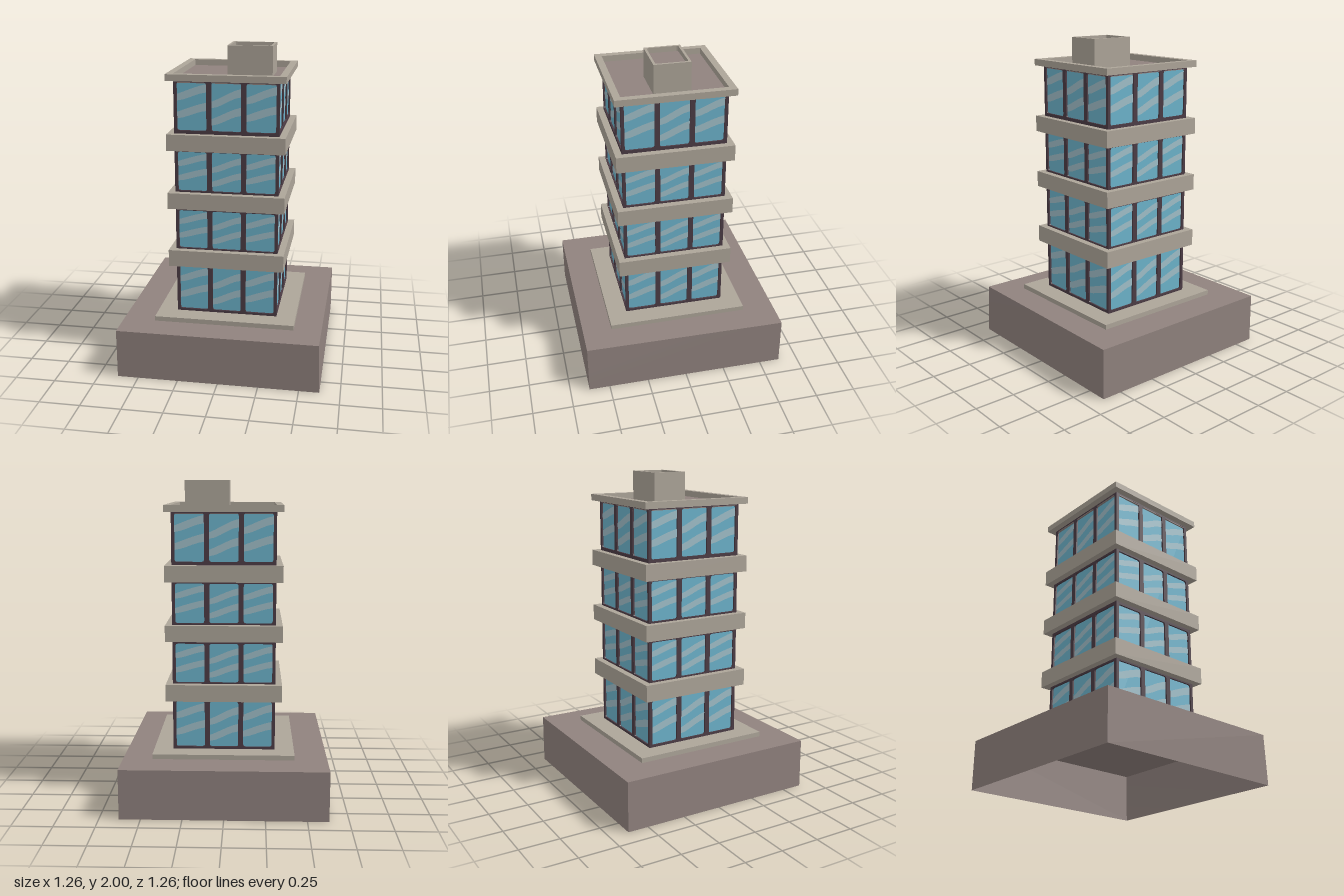
import * as THREE from 'three';

const mat = (name, color, side = THREE.FrontSide) => {
  const m = new THREE.MeshStandardMaterial({ color, side });
  m.name = name;
  return m;
};

// rectangle centred on (cx, cy), with optional rounded corners
function rect(target, w, h, r = 0, cx = 0, cy = 0) {
  const x = w / 2, y = h / 2;
  target.moveTo(cx - x + r, cy - y);
  target.lineTo(cx + x - r, cy - y);
  if (r) target.quadraticCurveTo(cx + x, cy - y, cx + x, cy - y + r);
  target.lineTo(cx + x, cy + y - r);
  if (r) target.quadraticCurveTo(cx + x, cy + y, cx + x - r, cy + y);
  target.lineTo(cx - x + r, cy + y);
  if (r) target.quadraticCurveTo(cx - x, cy + y, cx - x, cy + y - r);
  target.lineTo(cx - x, cy - y + r);
  if (r) target.quadraticCurveTo(cx - x, cy - y, cx - x + r, cy - y);
  return target;
}

export function createModel() {
  const stone = mat('brown stone', 0x90827e);
  const groundStone = mat('ground stone', 0x90827e, THREE.DoubleSide);
  const concrete = mat('beige concrete', 0xada599);
  const frameMat = mat('dark frame', 0x4c3c45);
  const glass = mat('blue glass', 0x6cb3cb);
  const shine = mat('pale reflection', 0xa0bfc9);

  const model = new THREE.Group();
  model.name = 'officeTower';
  const add = (parent, name, geo, material, x = 0, y = 0, z = 0) => {
    const m = new THREE.Mesh(geo, material);
    m.name = name;
    m.position.set(x, y, z);
    parent.add(m);
    return m;
  };
  const block = (parent, name, w, d, y0, y1, material, x = 0, z = 0) =>
    add(parent, name, new THREE.BoxGeometry(w, y1 - y0, d), material, x, (y0 + y1) / 2, z);
  // upright hollow rectangular wall
  const ring = (parent, name, w, d, iw, id, y0, y1, r, material, x = 0, z = 0) => {
    const s = rect(new THREE.Shape(), w, d);
    s.holes.push(rect(new THREE.Path(), iw, id, r));
    const g = new THREE.ExtrudeGeometry(s, { depth: y1 - y0, bevelEnabled: false, curveSegments: 3 });
    return add(parent, name, g.rotateX(-Math.PI / 2), material, x, y0, z);
  };

  // ground block: hollow below, one front corner pulled slightly inward
  const base = new THREE.BoxGeometry(1.26, 0.31, 1.26);
  const index = Array.from(base.index.array);
  index.splice(18, 6);
  base.setIndex(index);
  base.clearGroups();
  const p = base.attributes.position;
  for (let i = 0; i < p.count; i++) {
    if (p.getX(i) > 0 && p.getZ(i) > 0) p.setX(i, p.getY(i) > 0 ? 0.614 : 0.625);
  }
  base.computeVertexNormals();
  add(model, 'groundBlock', base, groundStone, 0, 0.155, 0);

  const tower = new THREE.Group();
  tower.name = 'tower';
  tower.position.set(0.009, 0, 0.011);
  model.add(tower);

  block(tower, 'plinth', 0.875, 0.875, 0.31, 0.34, concrete);
  block(tower, 'glassCore', 0.614, 0.614, 0.34, 1.8, glass);
  for (const [y0, y1] of [[0.655, 0.76], [1.03, 1.13], [1.395, 1.495]]) {
    block(tower, 'floorBand', 0.717, 0.717, y0, y1, concrete);
  }

  // storeys: [wall bottom, wall top, window bottom, window top]
  const storeys = [
    [0.34, 0.655, 0.355, 0.645],
    [0.76, 1.03, 0.768, 1.012],
    [1.13, 1.395, 1.14, 1.383],
    [1.495, 1.815, 1.515, 1.805],
  ];
  const half = 0.3175, winW = 0.178, pitch = 0.209;
  // reflection bands per column: [height at left, height at right], as shares of the window
  const bands = [
    [[0.7, 0.88], [0.33, 0.5]],
    [[0.56, 0.8], [0.2, 0.42]],
    [[0.66, 0.86], [0.3, 0.47]],
  ];

  for (let side = 0; side < 4; side++) {
    const facade = new THREE.Group();
    facade.name = 'facade';
    facade.rotation.y = side * Math.PI / 2;
    tower.add(facade);
    for (const [y0, y1, w0, w1] of storeys) {
      const h = w1 - w0;
      const wall = rect(new THREE.Shape(), half * 2, y1 - y0, 0, 0, (y0 + y1) / 2);
      bands.forEach((pair, col) => {
        const cx = (col - 1) * pitch;
        wall.holes.push(rect(new THREE.Path(), winW, h, 0.014, cx, (w0 + w1) / 2));
        // wavy reflections on the glass
        for (const [a, b] of pair) {
          const l = cx - winW / 2, r = cx + winW / 2, t = 0.085 * h;
          const ya = w0 + a * h, yb = w0 + b * h, q = winW / 3;
          const s = new THREE.Shape();
          s.moveTo(l, ya - t);
          s.bezierCurveTo(l + q, ya - t + 0.005, r - q, yb - t - 0.005, r, yb - t);
          s.lineTo(r, yb + t);
          s.bezierCurveTo(r - q, yb + t - 0.012, l + q, ya + t + 0.012, l, ya + t * 0.6);
          add(facade, 'reflection', new THREE.ShapeGeometry(s, 5), shine, 0, 0, 0.309);
        }
      });
      const g = new THREE.ExtrudeGeometry(wall, { depth: 0.0125, bevelEnabled: false, curveSegments: 3 });
      add(facade, 'windowFrame', g, frameMat, 0, 0, half - 0.0125);
    }
  }

  // roof with parapet and a small open-topped roof house
  block(tower, 'roofDeck', 0.634, 0.634, 1.8, 1.817, stone);
  ring(tower, 'parapet', 0.717, 0.717, 0.632, 0.632, 1.815, 1.855, 0, concrete);
  ring(tower, 'roofHouse', 0.276, 0.222, 0.246, 0.192, 1.81, 2, 0.012, concrete, 0.111, 0);
  block(tower, 'roofHouseDeck', 0.25, 0.196, 1.94, 1.968, stone, 0.111, 0);
  return model;
}
